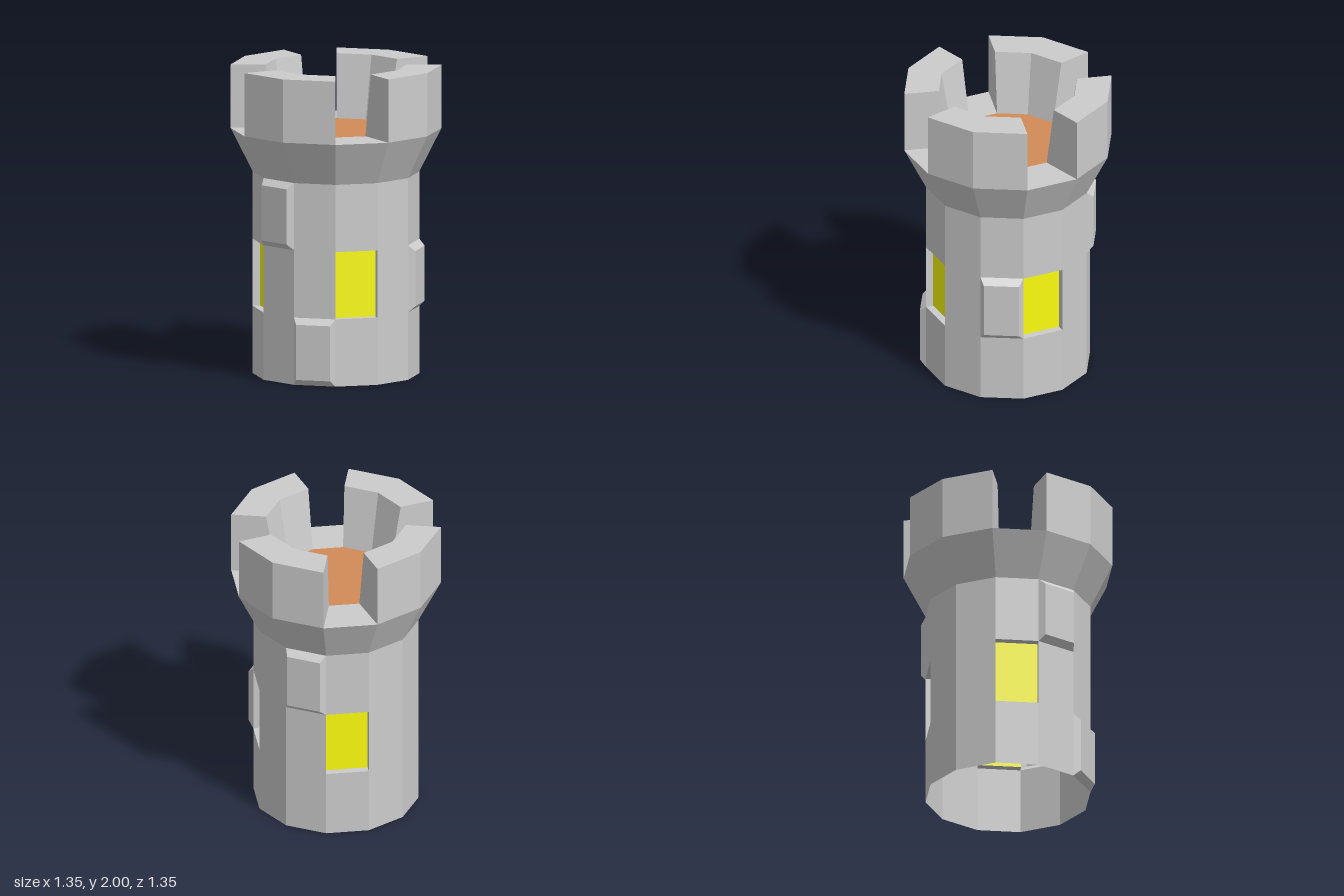
import * as THREE from 'three';

const SIDES = 12, ROW = 0.436, R = 0.533, RIM = 0.675, LEDGE = 1.59, TOP = 2;

// Point on a corner line of the tower; k counts corners from the back (-z) towards +x.
const P = (k, r, y) => {
  const a = (k * 2 * Math.PI) / SIDES;
  return new THREE.Vector3(r * Math.sin(a), y, -r * Math.cos(a));
};

// Flat-shaded mesh from a list of four-cornered faces (anticlockwise from outside).
function quadMesh(name, quads, color = 0xcccccc) {
  const pos = [];
  for (const [a, b, c, d] of quads)
    for (const p of [a, b, c, a, c, d]) pos.push(p.x, p.y, p.z);
  const geo = new THREE.BufferGeometry();
  geo.setAttribute('position', new THREE.Float32BufferAttribute(pos, 3));
  geo.computeVertexNormals();
  const mesh = new THREE.Mesh(geo, new THREE.MeshStandardMaterial({
    color, flatShading: true, side: THREE.DoubleSide,
  }));
  mesh.name = name;
  return mesh;
}

// Side k of the tower between two rings (r0, y0) and (r1, y1).
const panel = (k, r0, y0, r1, y1) =>
  [P(k + 1, r0, y0), P(k, r0, y0), P(k, r1, y1), P(k + 1, r1, y1)];

// A panel scaled about its middle and moved along its normal.
function pushed(quad, scale, depth) {
  const mid = quad.reduce((s, p) => s.add(p), new THREE.Vector3()).multiplyScalar(0.25);
  const normal = new THREE.Vector3(mid.x, 0, mid.z).normalize();
  return quad.map(p => p.clone().sub(mid).multiplyScalar(scale).add(mid).addScaledVector(normal, depth));
}

// The four faces joining an outer panel to a pushed one.
const border = (q, p) => q.map((_, i) => [q[i], q[(i + 1) % 4], p[(i + 1) % 4], p[i]]);

export function createModel() {
  const group = new THREE.Group();
  group.name = 'tower';

  // Shaft: plain panels with recessed windows and raised hollow stones
  const bricks = ['6,0', '7,2', '3,1', '0,2'];
  const wall = [], reveals = [], panes = [], stones = [];
  for (let k = 0; k < SIDES; k++) {
    for (let row = 0; row < 3; row++) {
      const q = panel(k, R, row * ROW, R, (row + 1) * ROW);
      if (row === 1 && k % 3 === 2) {
        const p = pushed(q, 1, -0.05);
        panes.push(p);
        reveals.push(...border(q, p));
      } else if (bricks.includes(`${k},${row}`)) {
        const p = pushed(q, 0.82, 0.042);
        stones.push(p, ...border(q, p));
      } else wall.push(q);
    }
  }

  // Flared collar, and battlements two sides long with one-side gaps
  const collar = [], merlons = [], sills = [];
  const IN0 = 0.38, IN1 = 0.45;
  for (let k = 0; k < SIDES; k++) {
    collar.push(panel(k, R, 3 * ROW, RIM, LEDGE));
    if (k % 3 === 2) {
      sills.push(panel(k, RIM, LEDGE, IN0, LEDGE));
      continue;
    }
    merlons.push(
      panel(k, RIM, LEDGE, RIM, TOP),
      panel(k, RIM, TOP, IN1, TOP),
      panel(k, IN1, TOP, IN0, LEDGE),
    );
    // End faces of each merlon
    const end = c => [P(c, RIM, LEDGE), P(c, IN0, LEDGE), P(c, IN1, TOP), P(c, RIM, TOP)];
    if (k % 3 === 0) merlons.push(end(k));
    else merlons.push(end(k + 1).reverse());
  }

  group.add(
    quadMesh('shaftWall', wall),
    quadMesh('windowReveals', reveals),
    quadMesh('windowPanes', panes, 0xfcfc10),
    quadMesh('raisedStones', stones),
    quadMesh('collar', collar),
    quadMesh('battlements', merlons),
    quadMesh('gapSills', sills),
  );

  // Wooden platform inside the battlements
  const floor = new THREE.Mesh(
    new THREE.CircleGeometry(IN0, SIDES).rotateX(-Math.PI / 2),
    new THREE.MeshStandardMaterial({ color: 0xd28a57, flatShading: true, side: THREE.DoubleSide }),
  );
  floor.name = 'platform';
  floor.position.y = LEDGE;
  group.add(floor);

  return group;
}
